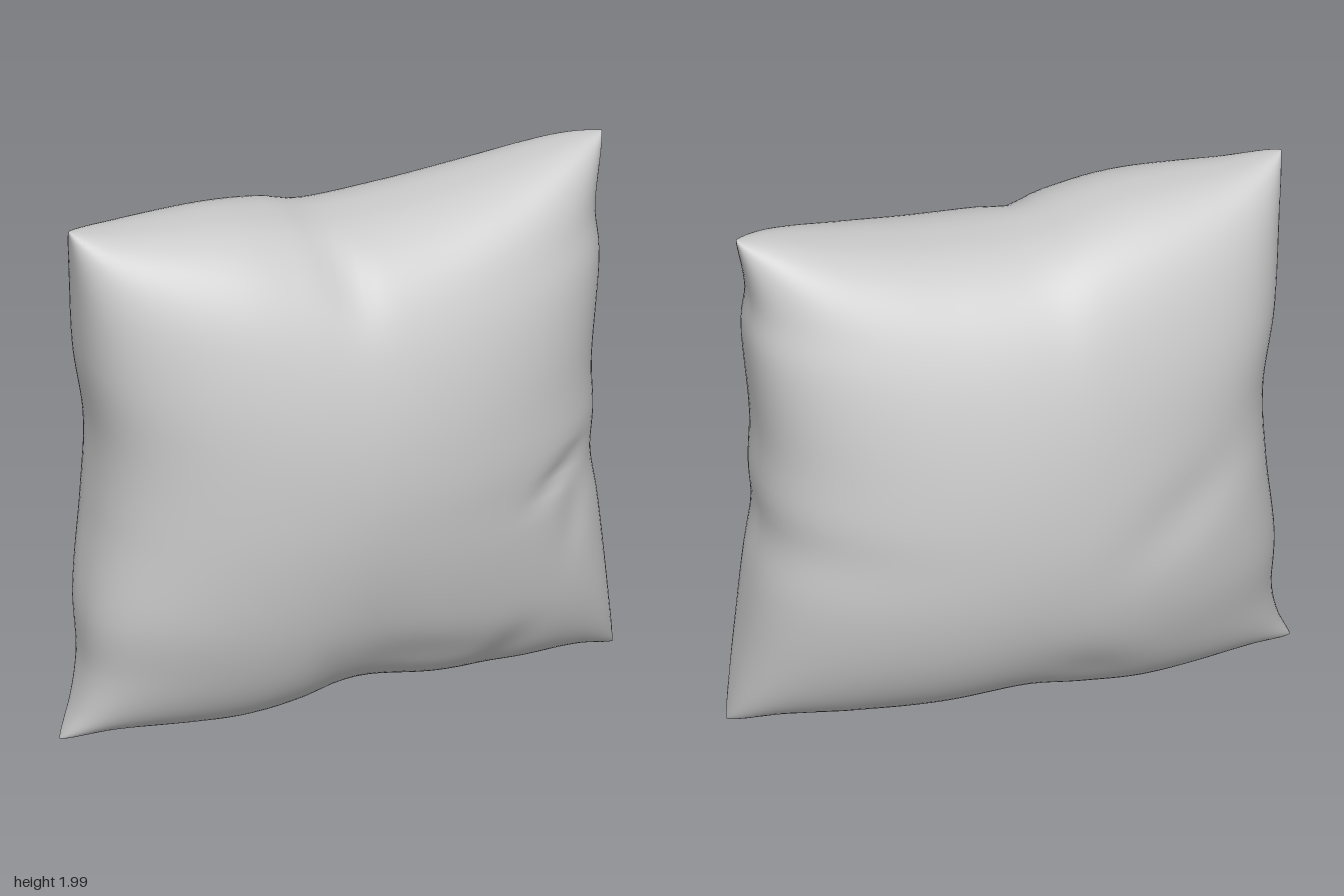
import * as THREE from 'three';
import { mergeVertices } from 'three/addons/utils/BufferGeometryUtils.js';

const N = 64;          // cells along each side of a panel
const DEPTH = 0.54;    // half thickness at the middle
const LEAN = 0.07;     // how far the fullest point of each panel sits off centre

const curve = (pts) => {
  const c = new THREE.CatmullRomCurve3(pts.map(([x, y, z = 0.03]) => new THREE.Vector3(x, y, z)), false, 'centripetal');
  c.arcLengthDivisions = 400;
  return c;
};

// Seam outline: x, y and seam depth z
const BL = [-1.0, 0.003, 0.03], BR = [0.995, 0.018, 0.03];
const TL = [-0.975, 1.975, 0.05], TR = [0.968, 1.99, 0.0];
const bottom = curve([BL, [-0.85, 0.033], [-0.4, 0.035], [-0.2, 0.065, 0.02], [0, 0.105, 0], [0.3, 0.075, 0.02], [0.6, 0.065], [0.85, 0.055], BR]);
const top = curve([TL, [-0.8, 1.95, 0.03], [-0.4, 1.93, 0.02], [-0.2, 1.895, 0], [-0.07, 1.86, 0], [0.25, 1.875, 0], [0.55, 1.92, 0], [0.85, 1.98, 0], TR]);
const left = curve([BL, [-0.95, 0.12], [-0.92, 0.27], [-0.925, 0.5], [-0.885, 0.85, 0], [-0.875, 1.15, 0], [-0.92, 1.45, 0], [-0.95, 1.75], TL]);
const right = curve([BR, [0.96, 0.3], [0.925, 0.65, 0], [0.895, 0.85, 0], [0.905, 1.0, 0], [0.9, 1.2, 0], [0.935, 1.6, 0], [0.925, 1.75, 0], TR]);

// Fabric folds: x, y, long radius, short radius, angle, depth
const frontFolds = [
  [0.70, 0.89, 0.12, 0.045, 0.45, 0.025], [0.76, 0.7, 0.06, 0.14, 0, 0.015],
  [-0.05, 1.77, 0.06, 0.13, 0.35, 0.025], [0.22, 0.27, 0.25, 0.08, -0.2, 0.012],
  [-0.12, 0.22, 0.07, 0.14, 0.3, 0.012], [0.52, 0.18, 0.08, 0.12, -0.5, 0.018],
];
const backFolds = [
  [-0.5, 0.9, 0.25, 0.12, -0.6, 0.02], [-0.2, 0.25, 0.18, 0.1, 0.5, 0.02],
];
const foldDepth = (folds, x, y) => folds.reduce((sum, [fx, fy, a, b, ang, d]) => {
  const c = Math.cos(ang), s = Math.sin(ang), dx = x - fx, dy = y - fy;
  const p = (dx * c + dy * s) / a, q = (dy * c - dx * s) / b;
  return sum + d * Math.exp(-p * p - q * q);
}, 0);

// Rows pack closer together toward the seam
const angle = (i) => (i / N - 0.5) * Math.PI;
const param = (i) => (Math.sin(angle(i)) + 1) / 2;

function createPillowGeometry() {
  const edge = (c) => Array.from({ length: N + 1 }, (_, i) => c.getPointAt(param(i)));
  const [B, T, L, R] = [bottom, top, left, right].map(edge);
  // Surface blended between the four seam curves
  const seamSheet = (i, j, k) => {
    const u = param(i), v = param(j);
    return (1 - v) * B[i][k] + v * T[i][k] + (1 - u) * L[j][k] + u * R[j][k]
      - ((1 - u) * (1 - v) * B[0][k] + u * (1 - v) * B[N][k] + (1 - u) * v * T[0][k] + u * v * T[N][k]);
  };
  const pos = [], index = [];
  for (const side of [1, -1]) {
    const base = pos.length / 3;
    for (let j = 0; j <= N; j++) {
      for (let i = 0; i <= N; i++) {
        const x = seamSheet(i, j, 'x'), y = seamSheet(i, j, 'y');
        const puff = Math.max(0, Math.cos(angle(i)) * Math.cos(angle(j)));
        const onSeam = i === 0 || j === 0 || i === N || j === N;
        const dent = foldDepth(side > 0 ? frontFolds : backFolds, x, y) * Math.min(1, puff * 3);
        // The front is fuller up and to one side, the back the opposite way
        const lean = 1 + side * LEAN * (Math.sin(angle(j)) - Math.sin(angle(i)));
        const t = onSeam ? 0 : DEPTH * lean * Math.pow(puff, 0.8) - dent;
        pos.push(x, y, seamSheet(i, j, 'z') * (1 - puff) + side * t);
      }
    }
    for (let j = 0; j < N; j++) {
      for (let i = 0; i < N; i++) {
        const a = base + j * (N + 1) + i, b = a + 1, c = a + N + 1, d = c + 1;
        if (side > 0) index.push(a, b, d, a, d, c);
        else index.push(a, d, b, a, c, d);
      }
    }
  }
  const geo = new THREE.BufferGeometry();
  geo.setAttribute('position', new THREE.Float32BufferAttribute(pos, 3));
  geo.setIndex(index);
  const welded = mergeVertices(geo, 1e-5); // joins both panels along the seam
  welded.computeVertexNormals();
  return welded;
}

export function createModel() {
  const fabric = new THREE.MeshStandardMaterial({ color: 0xcccccc });
  fabric.name = 'greyFabric';
  const pillow = new THREE.Mesh(createPillowGeometry(), fabric);
  pillow.name = 'pillow';
  const group = new THREE.Group();
  group.name = 'cushion';
  group.add(pillow);
  return group;
}
